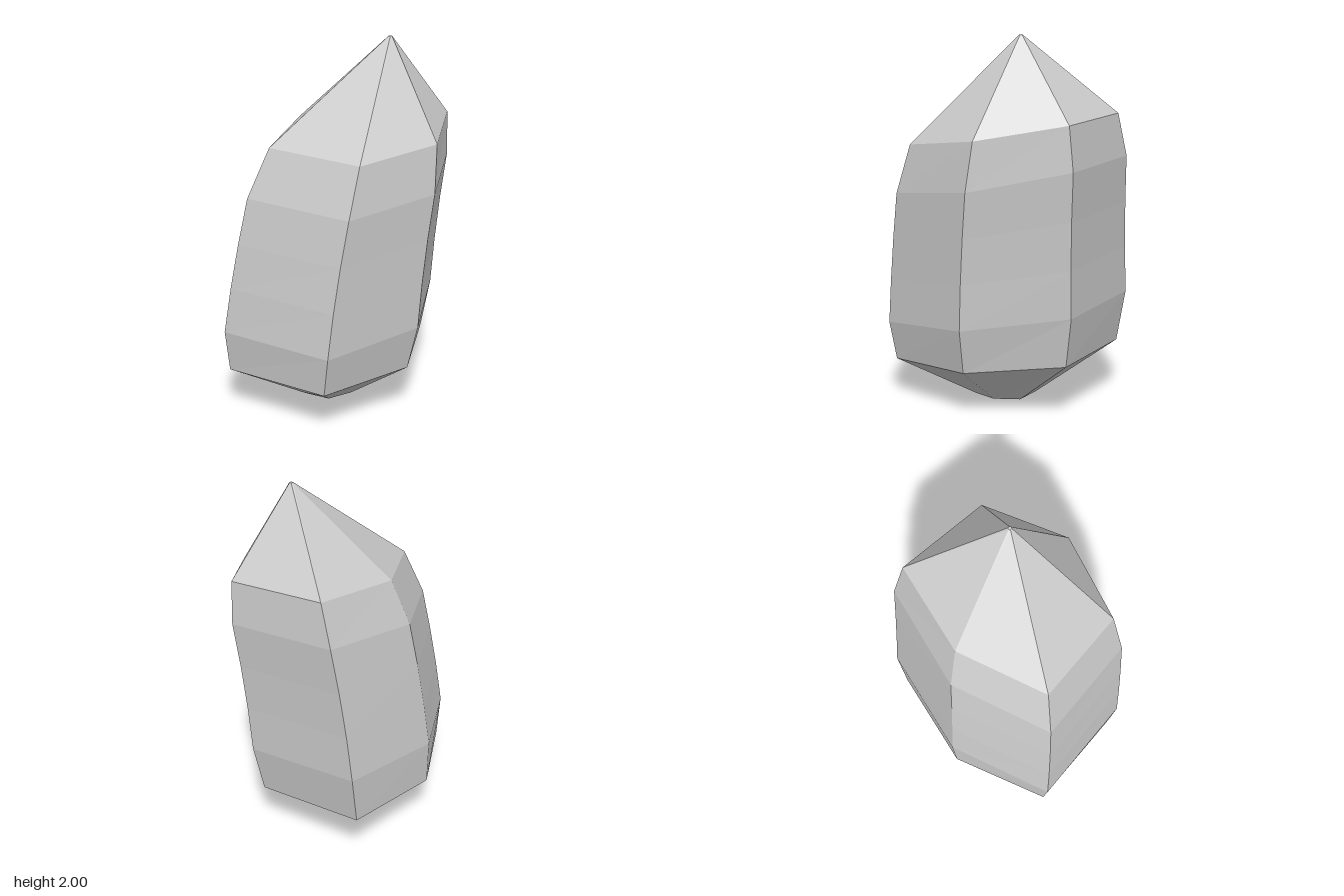
import * as THREE from 'three';

// Six corners per ring, starting at the model's -x side and running round the front.
const BASE = [[-0.2, 0, 0], [-0.11, 0, 0.135], [0.04, 0, 0.115], [0.135, 0, 0], [0.06, 0, -0.16], [-0.1, 0, -0.125]];
const FOOT = [[-0.64, 0.225, 0], [-0.32, 0.213, 0.52], [0.225, 0.24, 0.43], [0.55, 0.28, 0], [0.295, 0.295, -0.55], [-0.265, 0.262, -0.415]];
const LOWER = [[-0.67, 0.45, 0.01], [-0.32, 0.428, 0.565], [0.26, 0.48, 0.475], [0.605, 0.55, 0.01], [0.34, 0.58, -0.575], [-0.26, 0.52, -0.43]];
const UPPER = [[-0.54, 1.19, 0.05], [-0.205, 1.16, 0.573], [0.34, 1.215, 0.487], [0.67, 1.32, 0.055], [0.42, 1.352, -0.5], [-0.15, 1.274, -0.37]];
const SHOULDER = [[-0.42, 1.455, 0.07], [-0.125, 1.425, 0.533], [0.365, 1.475, 0.457], [0.655, 1.555, 0.07], [0.43, 1.585, -0.43], [-0.07, 1.525, -0.31]];

// Ring between two others, leaning slightly to follow the bend of the shaft
function between(a, b, t, lean) {
  return a.map((p, i) => [
    p[0] + (b[i][0] - p[0]) * t + lean,
    p[1] + (b[i][1] - p[1]) * t,
    p[2] + (b[i][2] - p[2]) * t,
  ]);
}

// Closed faceted surface through a stack of rings
function loft(rings, capBottom, capTop) {
  const positions = [];
  const tri = (a, b, c) => positions.push(...a, ...b, ...c);
  for (let r = 0; r < rings.length - 1; r++) {
    const lo = rings[r], hi = rings[r + 1];
    for (let i = 0; i < 6; i++) {
      const j = (i + 1) % 6;
      tri(lo[i], lo[j], hi[j]);
      tri(lo[i], hi[j], hi[i]);
    }
  }
  const first = rings[0], last = rings[rings.length - 1];
  for (let i = 1; i < 5; i++) {
    if (capBottom) tri(first[0], first[i + 1], first[i]);
    if (capTop) tri(last[0], last[i], last[i + 1]);
  }
  const geometry = new THREE.BufferGeometry();
  geometry.setAttribute('position', new THREE.Float32BufferAttribute(positions, 3));
  geometry.computeVertexNormals();
  return geometry;
}

export function createModel() {
  const group = new THREE.Group();
  group.name = 'crystal';
  const stone = new THREE.MeshStandardMaterial({ color: 0xcccccc, flatShading: true });
  stone.name = 'pale grey stone';

  const add = (name, rings, capBottom = false, capTop = false) => {
    const mesh = new THREE.Mesh(loft(rings, capBottom, capTop), stone);
    mesh.name = name;
    group.add(mesh);
  };

  // Tiny blunt tip
  const tip = SHOULDER.map((_, i) => {
    const a = Math.PI + (i * Math.PI) / 3;
    return [0.275 + 0.01 * Math.cos(a), 2, 0.098 - 0.01 * Math.sin(a)];
  });

  add('taperedBase', [BASE, FOOT], true);
  add('shaft', [
    FOOT, LOWER,
    between(LOWER, UPPER, 1 / 3, -0.008),
    between(LOWER, UPPER, 2 / 3, -0.008),
    UPPER, SHOULDER,
  ]);
  add('point', [SHOULDER, tip], false, true);
  return group;
}
